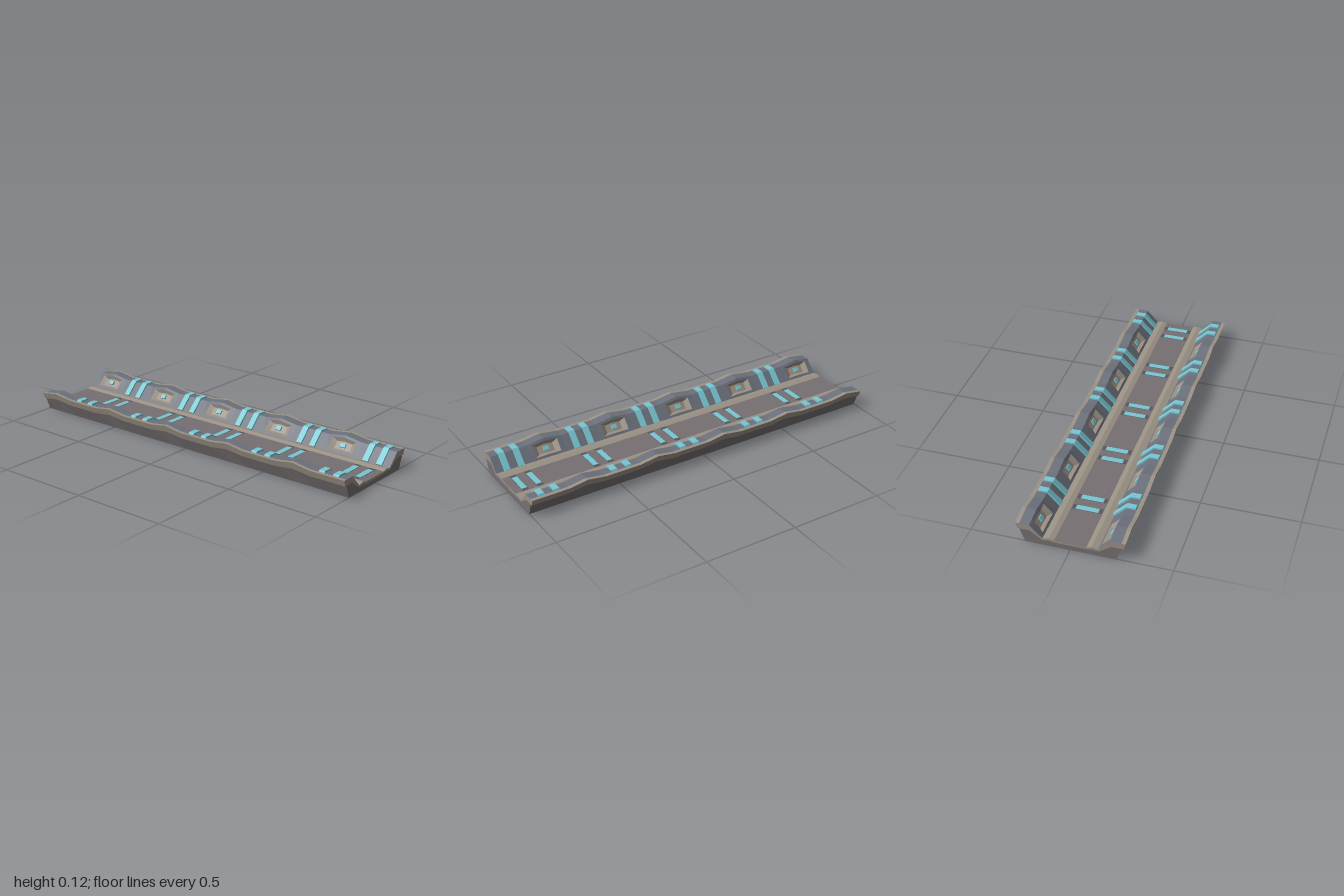
import * as THREE from 'three';

const mat = (color) => new THREE.MeshStandardMaterial({ color, flatShading: true });
const CRESTS = [-0.9, -0.5, -0.1, 0.3, 0.7];
const LIGHT_BAYS = [-0.7, -0.3, 0.1, 0.5, 0.9];

// 0 in the flat bays, 1 on top of each crest
const crest = (z) => Math.max(0, ...CRESTS.map((c) => 1 - Math.abs(z - c) / 0.1));

// Outline of the +x half: [x, y, extra height on a crest]
const P = {
  keel: [0, 0, 0],
  chine: [0.225, 0, 0],
  hullTop: [0.25, 0.068, 0.012],
  rimLow: [0.26, 0.068, 0.012],
  rimTop: [0.27, 0.1, 0.015],
  rimInner: [0.25, 0.1, 0.015],
  wallTop: [0.2, 0.1, 0.015],
  wallFoot: [0.137, 0.035, 0],
  railTop: [0.105, 0.042, 0],
  railEdge: [0.08, 0.035, 0],
  centre: [0, 0.035, 0],
};
const at = ([x, y, rise], z) => new THREE.Vector3(x, y + rise * crest(z), z);

// Flat-faced mesh from quads, mirrored to both sides
function quadMesh(name, quads, material) {
  const pos = [];
  for (const s of [1, -1]) {
    for (const q of quads) {
      const [a, b, c, d] = s > 0 ? q : [...q].reverse();
      for (const v of [a, b, c, a, c, d]) pos.push(v.x * s, v.y, v.z);
    }
  }
  const g = new THREE.BufferGeometry();
  g.setAttribute('position', new THREE.Float32BufferAttribute(pos, 3));
  g.computeVertexNormals();
  const mesh = new THREE.Mesh(g, material);
  mesh.name = name;
  return mesh;
}

// Stations along the length where the crests bend
const STATIONS = [-1];
for (const c of CRESTS) STATIONS.push(c, c + 0.1, c + 0.3);
STATIONS.splice(STATIONS.length - 1, 1, 1);

function strips(...outline) {
  const quads = [];
  for (let j = 0; j + 1 < outline.length; j++) {
    for (let i = 0; i + 1 < STATIONS.length; i++) {
      const [z0, z1] = [STATIONS[i], STATIONS[i + 1]];
      quads.push([at(outline[j], z0), at(outline[j + 1], z0), at(outline[j + 1], z1), at(outline[j], z1)]);
    }
    // rising half of each later crest starts in the flat bay
  }
  return quads;
}
for (const c of CRESTS.slice(1)) STATIONS.push(c - 0.1);
const sorted = [...new Set(STATIONS.map((z) => Math.round(z * 100) / 100))].sort((a, b) => a - b);
STATIONS.splice(0, STATIONS.length, ...sorted);

// Point on the inner wall, t = 0 at the top and 1 at the foot
const wallPoint = (z, t) => at(P.wallTop, z).lerp(at(P.wallFoot, z), t);
const wallQuad = (z0, z1, t0, t1) => [wallPoint(z0, t0), wallPoint(z0, t1), wallPoint(z1, t1), wallPoint(z1, t0)];

// End plate made from half an outline
function endCaps(name, half, material) {
  const group = new THREE.Group();
  group.name = name;
  const left = half.filter(([x]) => x > 0).map(([x, y]) => [-x, y]).reverse();
  const shape = new THREE.Shape([...half, ...left].map(([x, y]) => new THREE.Vector2(x, y)));
  for (const turn of [0, Math.PI]) {
    const cap = new THREE.Mesh(new THREE.ShapeGeometry(shape).translate(0, 0, 1), material);
    cap.rotation.y = turn;
    cap.name = name;
    group.add(cap);
  }
  return group;
}

function box(name, w, h, d, material, x, y, z) {
  const m = new THREE.Mesh(new THREE.BoxGeometry(w, h, d), material);
  m.name = name;
  m.position.set(x, y, z);
  return m;
}

export function createModel() {
  const root = new THREE.Group();
  root.name = 'trenchSection';
  const hull = mat(0x767072), tan = mat(0x9c9286), slate = mat(0x6c717c);
  const teal = mat(0x78c8d4), dark = mat(0x5c585a);

  // Hull, rim and floor
  root.add(
    quadMesh('hull', strips(P.keel, P.chine, P.hullTop), hull),
    quadMesh('rim', strips(P.hullTop, P.rimLow, P.rimTop, P.rimInner), tan),
    quadMesh('ledge', strips(P.rimInner, P.wallTop), slate),
    quadMesh('floorRail', strips(P.wallFoot, P.railTop, P.railEdge), tan),
    quadMesh('floor', strips(P.railEdge, P.centre), hull),
  );

  // Underside of the shell, shared by both end plates
  const seam = [[0.2, 0.068], [0.137, 0.023], [0.105, 0.028], [0.08, 0.023]];
  root.add(endCaps('hullEnd', [[0.225, 0], [0.25, 0.068], ...seam], hull));
  const top = ['rimLow', 'rimTop', 'wallTop', 'wallFoot', 'railTop', 'railEdge'].map((k) => P[k]);
  root.add(endCaps('shellEnd', [...[...seam].reverse(), ...top], tan));

  // Inner walls with a tapered alcove in each crest
  const wall = [], alcove = [], lamps = [];
  const T = [0, 0.14, 0.86, 1];
  const inward = new THREE.Vector3(0.75, -0.66, 0).multiplyScalar(0.016);
  for (const c of CRESTS) {
    const Z = [c - 0.1, c - 0.072, c, c + 0.072, c + 0.1];
    for (let i = 0; i < 4; i++) {
      for (let j = 0; j < 3; j++) {
        if (j === 1 && (i === 1 || i === 2)) continue;
        wall.push(wallQuad(Z[i], Z[i + 1], T[j], T[j + 1]));
      }
    }
    const ring = (w, t0, t1, push) => [[-w, t0], [-w, t1], [0, t1], [w, t1], [w, t0], [0, t0]]
      .map(([dz, t]) => wallPoint(c + dz, t).addScaledVector(inward, push));
    const outer = ring(0.072, T[1], T[2], 0), inner = ring(0.045, 0.28, 0.72, 1);
    for (let i = 0; i < 6; i++) {
      const n = (i + 1) % 6;
      alcove.push([outer[i], outer[n], inner[n], inner[i]]);
    }
    alcove.push([inner[0], inner[1], inner[2], inner[5]], [inner[5], inner[2], inner[3], inner[4]]);
    lamps.push(wallPoint(c, 0.5).addScaledVector(inward, 0.8));
  }
  for (const c of LIGHT_BAYS) wall.push(wallQuad(c - 0.1, c + 0.1, 0, 1));
  root.add(quadMesh('innerWall', wall, slate), quadMesh('alcove', alcove, tan));
  for (const s of [1, -1]) {
    for (const p of lamps) {
      const lamp = box('alcoveLamp', 0.022, 0.01, 0.03, teal, p.x * s, p.y, p.z);
      lamp.rotation.z = s * 0.87;
      root.add(lamp);
    }
  }

  // Bent light bars over the ledges and walls, flat ones in the floor
  const bar = [[0.25, 0.1], [0.245, 0.108], [0.197, 0.108], [0.13, 0.04], [0.137, 0.034], [0.2, 0.099]];
  for (const c of LIGHT_BAYS) {
    for (const z of [c - 0.04, c + 0.04]) {
      for (const s of [1, -1]) {
        const shape = new THREE.Shape(bar.map(([x, y]) => new THREE.Vector2(x * s, y)));
        const g = new THREE.ExtrudeGeometry(shape, { depth: 0.032, bevelEnabled: false });
        const m = new THREE.Mesh(g.translate(0, 0, z - 0.016), teal);
        m.name = 'wallLight';
        root.add(m);
      }
      root.add(box('floorLightPad', 0.152, 0.004, 0.034, dark, 0, 0.0337, z));
      root.add(box('floorLight', 0.115, 0.004, 0.03, teal, 0, 0.0345, z));
    }
  }
  return root;
}
